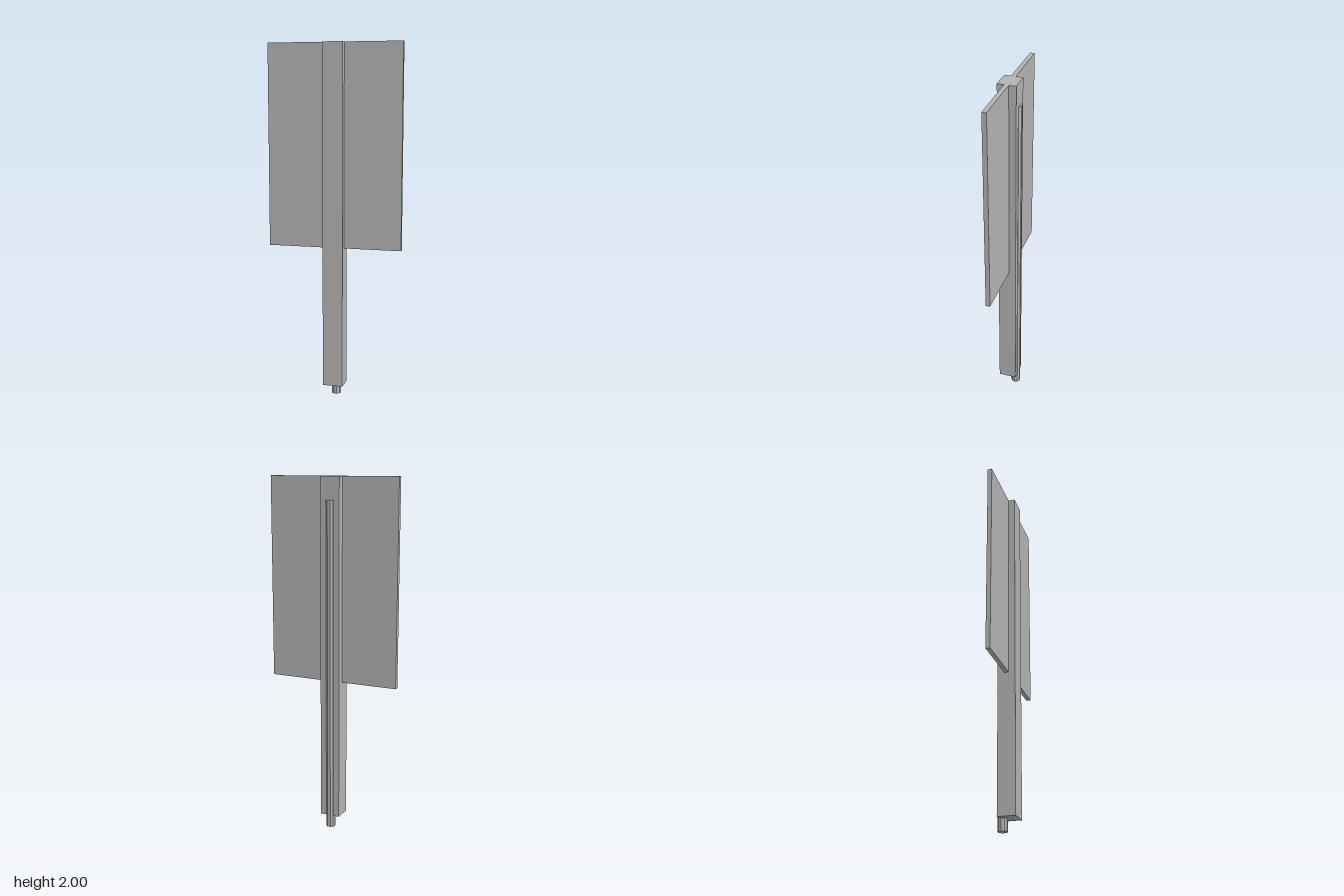
import * as THREE from 'three';

export function createModel() {
  const model = new THREE.Group();
  model.name = 'signPost';
  const grey = new THREE.MeshStandardMaterial({ color: 0xb2b2b2 });
  grey.name = 'grey';
  // the rod is faceted, so it shares the colour with flat normals baked into its geometry

  const add = (name, geometry, x, y, z) => {
    const mesh = new THREE.Mesh(geometry, grey);
    mesh.name = name;
    mesh.position.set(x, y, z);
    model.add(mesh);
    return mesh;
  };

  // Square upright post, raised slightly off the ground
  const postBottom = 0.068;
  add('post', new THREE.BoxGeometry(0.114, 2 - postBottom, 0.101), 0, (2 + postBottom) / 2, 0.0045);

  // Thin panels either side of the post
  const panelBottom = 0.865, inner = 0.057, outer = 0.381;
  for (const side of [-1, 1]) {
    add(side > 0 ? 'leftPanel' : 'rightPanel',
      new THREE.BoxGeometry(outer - inner, 2 - panelBottom, 0.025),
      side * (inner + outer) / 2, (2 + panelBottom) / 2, 0.0055);
  }

  // Ten-sided rod half sunk into the back of the post, reaching the ground
  const rodHeight = 1.875;
  const rodGeometry = new THREE.CylinderGeometry(0.027, 0.027, rodHeight, 10).toNonIndexed();
  rodGeometry.computeVertexNormals();
  rodGeometry.rotateY(Math.PI / 10);
  add('rod', rodGeometry, 0, rodHeight / 2, -0.032);

  return model;
}
